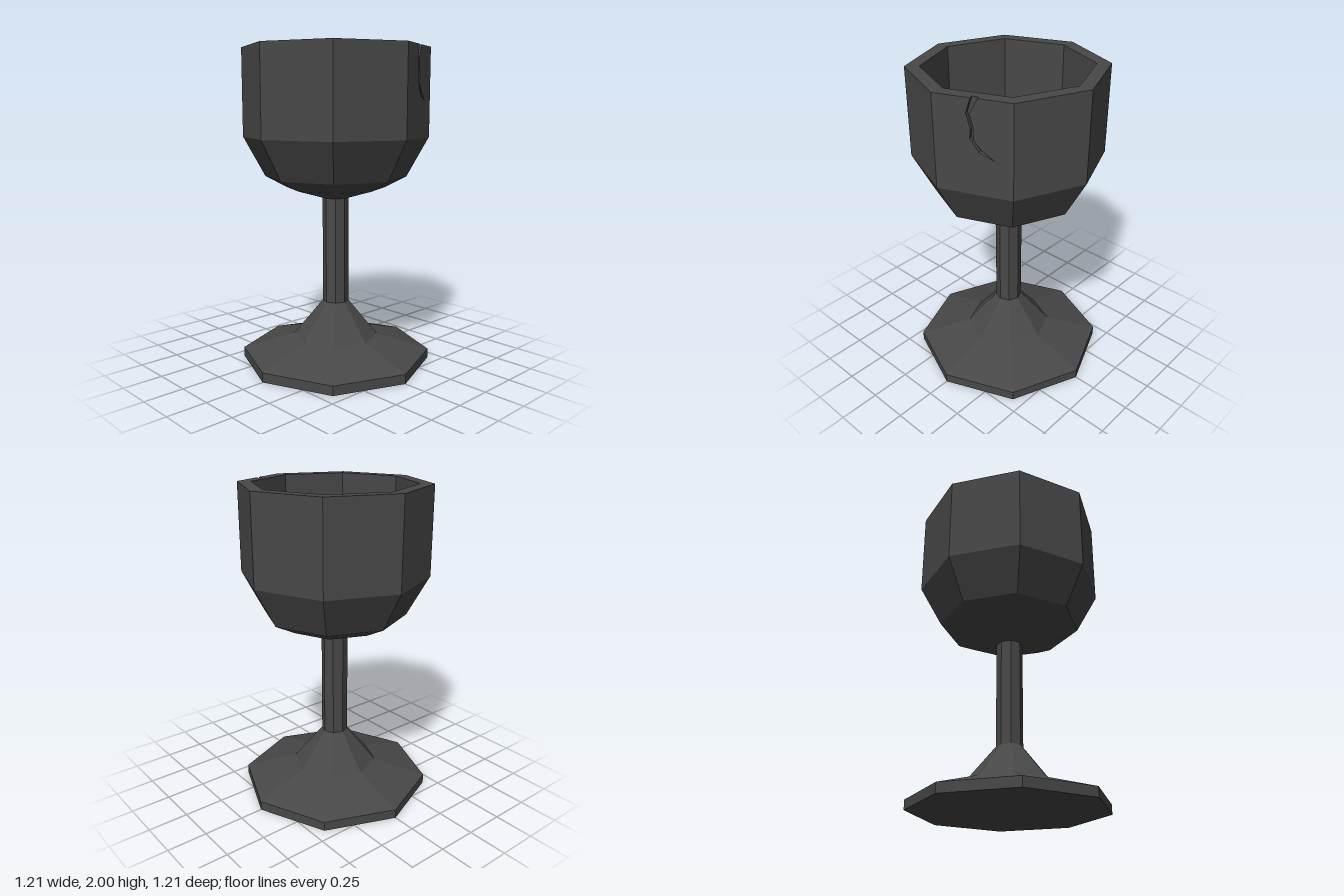
import * as THREE from 'three';

const SIDES = 8, RIM_Y = 2, WALL_Y = 1.45, R_OUT = 0.585, R_IN = 0.5;
const STEP = Math.PI * 2 / SIDES;
const APOTHEM = R_OUT * Math.cos(STEP / 2), HALF = R_OUT * Math.sin(STEP / 2);
const CRACK_DEPTH = 0.025;

// crack outline on the front panel: down the left edge, back up the right
const CRACK = [
  [-0.008, 2], [-0.036, 1.915], [-0.013, 1.83], [-0.018, 1.78], [0.032, 1.705], [0.122, 1.667],
  [0.045, 1.72], [0.002, 1.77], [0.006, 1.83], [-0.016, 1.915], [0.03, 2],
];

const v2 = (list) => list.map(([x, y]) => new THREE.Vector2(x, y));

export function createModel() {
  const goblet = new THREE.Group();
  goblet.name = 'goblet';
  const material = new THREE.MeshStandardMaterial({ color: 0x484848, flatShading: true });
  const doubleSided = material.clone();
  doubleSided.side = THREE.DoubleSide;

  const add = (name, geometry, parent = goblet, mat = material) => {
    const mesh = new THREE.Mesh(geometry, mat);
    mesh.name = name;
    parent.add(mesh);
    return mesh;
  };
  const lathe = (name, profile, skipped = 0) =>
    add(name, new THREE.LatheGeometry(v2(profile), SIDES - skipped, skipped * STEP, (SIDES - skipped) * STEP));

  // turned parts
  lathe('foot', [[0, 0], [0.605, 0], [0.605, 0.06], [0.27, 0.165], [0.083, 0.39]]);
  lathe('stem', [[0.083, 0.39], [0.083, 1.065]]);
  lathe('bowlBottom', [[0.083, 1.065], [0.31, 1.13], [0.447, 1.2], [R_OUT, WALL_Y]]);
  lathe('bowlWall', [[R_OUT, WALL_Y], [R_OUT, RIM_Y]], 1);
  lathe('bowlInside', [[R_IN, RIM_Y], [R_IN, WALL_Y], [0, WALL_Y]]);

  // cracked side: local +z points straight out of the panel
  const cracked = new THREE.Group();
  cracked.name = 'crackedSide';
  cracked.rotation.y = STEP / 2;
  goblet.add(cracked);

  const panel = new THREE.Shape(v2([
    [-HALF, RIM_Y], [-HALF, WALL_Y], [HALF, WALL_Y], [HALF, RIM_Y], ...[...CRACK].reverse(),
  ]));
  add('crackedPanel', new THREE.ShapeGeometry(panel), cracked).position.z = APOTHEM;
  add('crackFloor', new THREE.ShapeGeometry(new THREE.Shape(v2(CRACK))), cracked).position.z = APOTHEM - CRACK_DEPTH;

  // side walls of the crack
  const positions = [], index = [];
  CRACK.forEach(([x, y], i) => {
    positions.push(x, y, APOTHEM, x, y, APOTHEM - CRACK_DEPTH);
    const a = i * 2;
    if (i < CRACK.length - 1) index.push(a, a + 1, a + 2, a + 2, a + 1, a + 3);
  });
  const walls = new THREE.BufferGeometry();
  walls.setAttribute('position', new THREE.Float32BufferAttribute(positions, 3));
  walls.setIndex(index);
  walls.computeVertexNormals();
  add('crackWalls', walls, cracked, doubleSided);

  // rim ring, notched where the crack reaches the top
  const octagon = (r) => Array.from({ length: SIDES }, (_, k) => {
    const a = -Math.PI / 2 + (k + 0.5) * STEP;
    return [r * Math.cos(a), r * Math.sin(a)];
  });
  const x0 = CRACK[0][0], x1 = CRACK[CRACK.length - 1][0];
  const ring = new THREE.Shape(v2([
    ...octagon(R_OUT),
    [x0, -APOTHEM], [x0, -APOTHEM + CRACK_DEPTH], [x1, -APOTHEM + CRACK_DEPTH], [x1, -APOTHEM],
  ]));
  ring.holes.push(new THREE.Path(v2(octagon(R_IN))));
  const rim = add('rim', new THREE.ShapeGeometry(ring), cracked);
  rim.rotation.x = -Math.PI / 2;
  rim.position.y = RIM_Y;

  return goblet;
}
